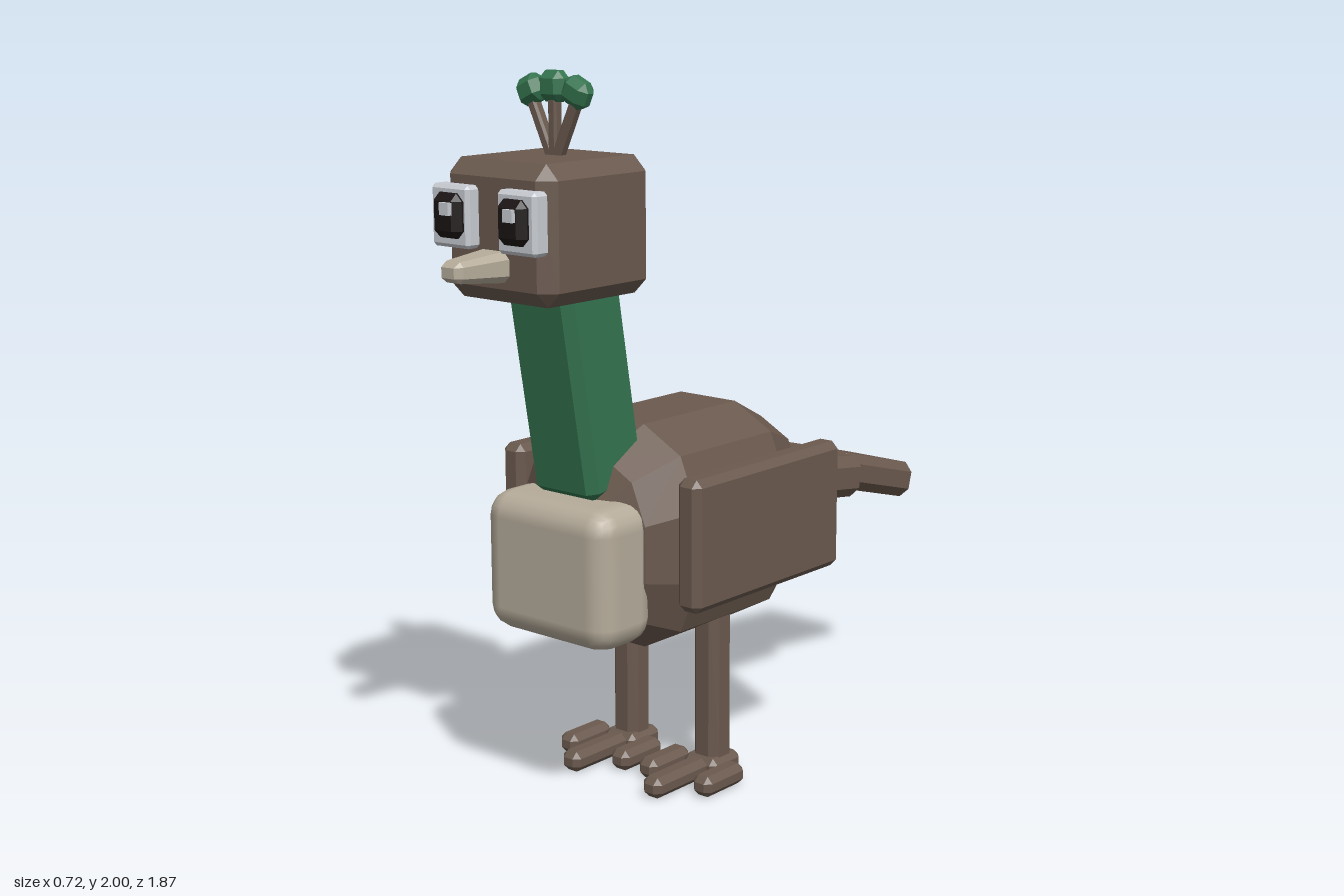
import * as THREE from 'three';
import { ConvexGeometry } from 'three/addons/geometries/ConvexGeometry.js';
import { RoundedBoxGeometry } from 'three/addons/geometries/RoundedBoxGeometry.js';

const material = (name, color) => {
  const m = new THREE.MeshStandardMaterial({ color });
  m.name = name;
  return m;
};

// Box with every edge cut by a flat chamfer c
function chamferBox(w, h, d, c) {
  const points = [];
  for (const x of [-w / 2, w / 2]) for (const y of [-h / 2, h / 2]) for (const z of [-d / 2, d / 2]) {
    const cut = (v) => v - Math.sign(v) * c;
    points.push(
      new THREE.Vector3(x, cut(y), cut(z)),
      new THREE.Vector3(cut(x), y, cut(z)),
      new THREE.Vector3(cut(x), cut(y), z));
  }
  return new ConvexGeometry(points);
}

// Faceted barrel made of scaled twelve-sided sections along z
function bodyGeometry() {
  const section = [[0.1, 0.315], [0.23, 0.245], [0.29, 0.1]];
  const rings = [[-0.3, 0.34], [-0.22, 0.77], [-0.07, 1], [0.32, 1], [0.46, 0.78], [0.52, 0.42]];
  const points = [];
  for (const [z, s] of rings) for (const [x, y] of section)
    for (const i of [-1, 1]) for (const j of [-1, 1])
      points.push(new THREE.Vector3(x * s * i, y * s * j, z));
  return new ConvexGeometry(points);
}

export function createModel() {
  const brown = material('brown feathers', 0x6a594e);
  const green = material('green feathers', 0x34744f);
  const cream = material('cream', 0xb5ab9a);
  const white = material('eye white', 0xc8ccd2);
  const black = material('pupil black', 0x1c1515);

  const model = new THREE.Group();
  model.name = 'bird';
  const add = (name, geometry, mat, x, y, z, rx = 0, rz = 0) => {
    const mesh = new THREE.Mesh(geometry, mat);
    mesh.name = name;
    mesh.position.set(x, y, z);
    mesh.rotation.set(rx, 0, rz);
    model.add(mesh);
    return mesh;
  };

  // Body, breast, neck and head
  add('body', bodyGeometry(), brown, 0, 0.735, 0);
  add('breast', new RoundedBoxGeometry(0.45, 0.39, 0.22, 2, 0.07), cream, 0, 0.68, 0.515);
  add('neck', chamferBox(0.23, 0.6, 0.22, 0.026), green, 0, 1.18, 0.478, 0.17);
  add('head', chamferBox(0.38, 0.36, 0.405, 0.04), brown, 0, 1.605, 0.573);

  // Tapered beak
  const beak = chamferBox(0.12, 0.085, 0.19, 0.02);
  const p = beak.attributes.position;
  for (let i = 0; i < p.count; i++) {
    const t = (p.getZ(i) + 0.095) / 0.19;
    p.setXY(i, p.getX(i) * (1 - 0.45 * t), p.getY(i) * (1 - 0.4 * t));
  }
  beak.computeVertexNormals();
  add('beak', beak, cream, 0, 1.522, 0.84);

  // Tail in two drooping segments
  add('tailBase', chamferBox(0.37, 0.125, 0.37, 0.03), brown, 0, 0.765, -0.415, -0.14);
  add('tailTip', chamferBox(0.285, 0.11, 0.385, 0.028), brown, 0, 0.707, -0.74, -0.27);

  for (const side of [-1, 1]) {
    const label = side > 0 ? 'left' : 'right';
    add(label + 'Wing', chamferBox(0.08, 0.365, 0.635, 0.02), brown, side * 0.322, 0.763, 0.09);

    // Leg, heel and three toes
    add(label + 'Leg', chamferBox(0.09, 0.5, 0.09, 0.022), brown, side * 0.153, 0.28, 0.092);
    add(label + 'Heel', chamferBox(0.12, 0.06, 0.13, 0.018), brown, side * 0.153, 0.03, 0.092);
    add(label + 'MiddleToe', chamferBox(0.068, 0.06, 0.23, 0.018), brown, side * 0.153, 0.03, 0.252);
    for (const offset of [-0.1, 0.1])
      add(label + 'SideToe', chamferBox(0.068, 0.06, 0.17, 0.018), brown, side * 0.153 + offset, 0.03, 0.185);

    // Eye plate, pupil and highlight
    add(label + 'EyeWhite', chamferBox(0.135, 0.16, 0.055, 0.01), white, side * 0.117, 1.642, 0.787);
    add(label + 'Pupil', chamferBox(0.1, 0.115, 0.05, 0.02), black, side * 0.114, 1.645, 0.815);
    add(label + 'EyeHighlight', new THREE.BoxGeometry(0.032, 0.032, 0.02), white, side * 0.112 + 0.014, 1.665, 0.842);
  }

  // Crest of three feathers fanning from the crown
  for (const i of [-1, 0, 1]) {
    const tilt = -i * 0.44;
    add('crestStem', chamferBox(0.03, 0.19, 0.03, 0.006), brown, i * 0.04, 1.845, 0.545, 0, tilt);
    add('crestTip', chamferBox(0.085, i ? 0.075 : 0.08, 0.06, 0.02), green,
      i * 0.08, i ? 1.947 : 1.96, 0.545, 0, tilt);
  }

  return model;
}
